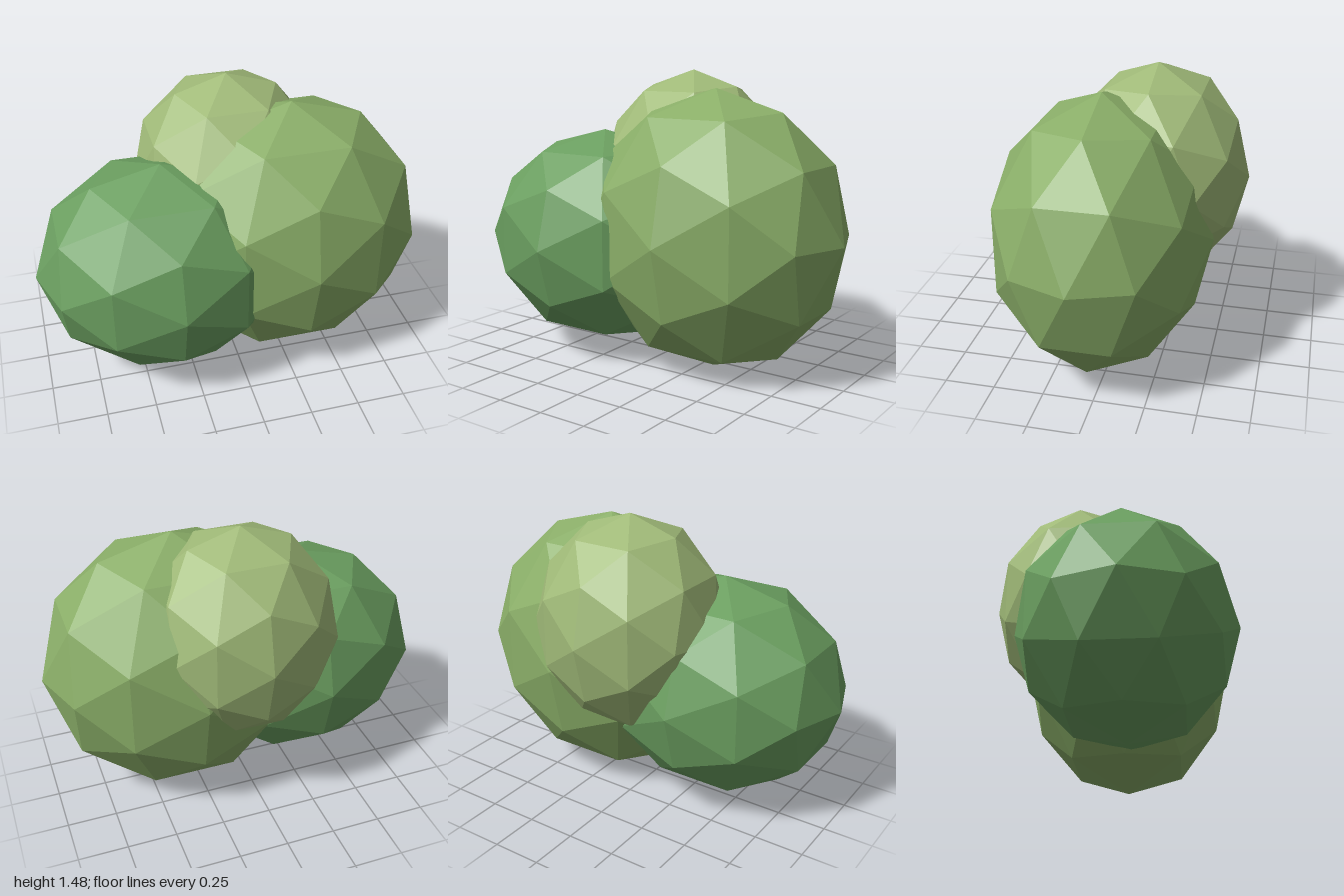
import * as THREE from 'three';

// One faceted foliage clump: a stretched low-poly ball
function clump(name, color, center, radii) {
  const geometry = new THREE.IcosahedronGeometry(1, 1);
  geometry.scale(...radii);
  geometry.computeVertexNormals();
  const mesh = new THREE.Mesh(
    geometry,
    new THREE.MeshStandardMaterial({ color, flatShading: true })
  );
  mesh.name = name;
  mesh.position.set(...center);
  return mesh;
}

export function createModel() {
  const bush = new THREE.Group();
  bush.name = 'bush';
  bush.add(
    // Tall main clump on the model's left
    clump('largeClump', 0x8aae68, [0.31, 0.7, 0.05], [0.69, 0.7, 0.545]),
    // Lower, darker clump on the model's right
    clump('lowClump', 0x6b9f60, [-0.35, 0.61, 0.085], [0.65, 0.56, 0.54]),
    // Small pale clump raised at the back
    clump('backClump', 0xa0ba78, [0.04, 0.93, -0.165], [0.49, 0.55, 0.46])
  );
  return bush;
}
